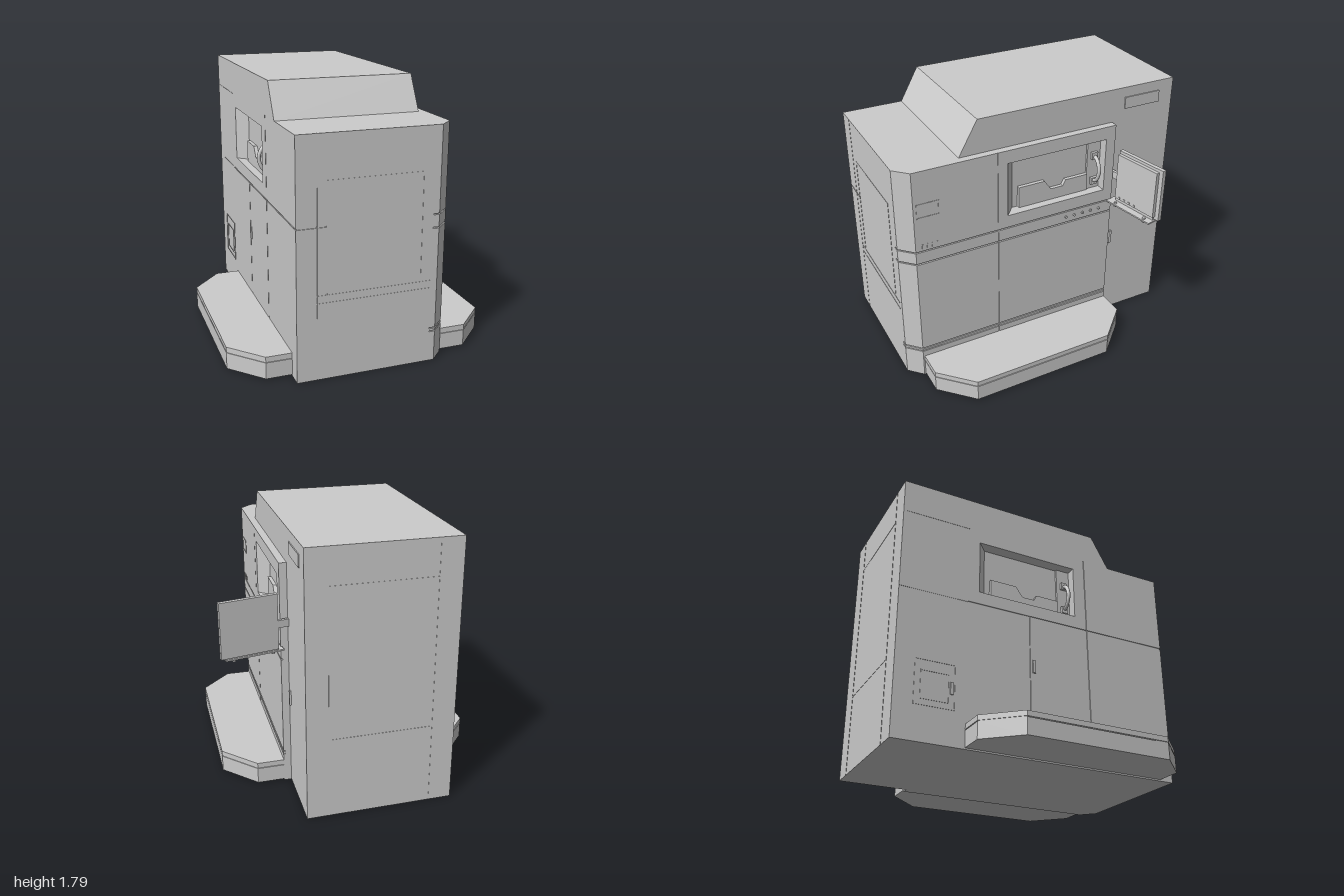
import * as THREE from 'three';

const material = new THREE.MeshStandardMaterial({ color: 0xcccccc, flatShading: true });
const smooth = new THREE.MeshStandardMaterial({ color: 0xcccccc });

function add(parent, name, geometry, mat = material) {
  const mesh = new THREE.Mesh(geometry, mat);
  mesh.name = name;
  parent.add(mesh);
  return mesh;
}

// Box given by its extents on each axis
function box(parent, name, [x0, x1], [y0, y1], [z0, z1]) {
  const g = new THREE.BoxGeometry(x1 - x0, y1 - y0, z1 - z0);
  return add(parent, name, g.translate((x0 + x1) / 2, (y0 + y1) / 2, (z0 + z1) / 2));
}

const toShape = (pts) => new THREE.Shape(pts.map(([a, b]) => new THREE.Vector2(a, b)));

// Floor plan [x, z] raised from y0 to y1
function slab(parent, name, pts, y0, y1) {
  const g = new THREE.ExtrudeGeometry(toShape(pts.map(([x, z]) => [x, -z])), { depth: y1 - y0, bevelEnabled: false });
  return add(parent, name, g.rotateX(-Math.PI / 2).translate(0, y0, 0));
}

// Side profile [z, y] extended from x0 to x1
function profile(parent, name, pts, x0, x1) {
  const g = new THREE.ExtrudeGeometry(toShape(pts), { depth: x1 - x0, bevelEnabled: false });
  return add(parent, name, g.rotateY(-Math.PI / 2).translate(x1, 0, 0));
}

// Rectangular outline standing on a side wall (x) as four thin strips
function sideFrame(parent, name, x, [y0, y1], [z0, z1], w = 0.006, d = 0.003) {
  const xs = [x - d, x + d];
  box(parent, name, xs, [y0, y0 + w], [z0, z1]);
  box(parent, name, xs, [y1 - w, y1], [z0, z1]);
  box(parent, name, xs, [y0, y1], [z0, z0 + w]);
  box(parent, name, xs, [y0, y1], [z1 - w, z1]);
}

// Cabinet floor plan with vertical seams, groove insets and window recesses
function cabinetPlan({ right = 0, left = 0, recess = false, doors = false }) {
  const R = 0.49 - right, L = -0.53 + left, s = 0.006, w = 0.003;
  const seam = (x, z, dir, inward) => [[x, z - dir * w], [x + inward, z - dir * w], [x + inward, z + dir * w], [x, z + dir * w]];
  const pts = [[L, -0.53], [R, -0.53]];
  if (recess) pts.push([R, -0.46], [0.41, -0.46], [0.41, 0.2], [R, 0.27]);
  pts.push(...seam(R, 0.34, 1, -s), [R, 0.91], [0.4, 1 - right]);
  if (right) pts.push([0.36, 1 - right], [0.36, 1]);
  if (left) pts.push([-0.34, 1], [-0.34, 1 - left]);
  const front = 1 - left;
  pts.push([-0.4 + w, front], [-0.4 + w, front - s], [-0.4 - w, front - s], [-0.4 - w, front], [L, front]);
  pts.push(...seam(L, 0.37, -1, s));
  if (recess) pts.push([L, 0.28], [-0.45, 0.28], [-0.45, -0.38], [L, -0.45]);
  if (doors) pts.push(...seam(L, -0.08, -1, s));
  return pts;
}

// Contents of one window recess, laid out for the +x side
function windowUnit() {
  const unit = new THREE.Group();
  unit.name = 'windowUnit';
  profile(unit, 'steppedPlate', [[0.16, 1.09], [0.16, 1.24], [-0.03, 1.24], [-0.08, 1.17], [-0.17, 1.17],
    [-0.19, 1.21], [-0.36, 1.21], [-0.36, 1.09]], 0.405, 0.435);
  box(unit, 'handlePlate', [0.405, 0.425], [1.09, 1.47], [-0.46, -0.36]);
  const curve = new THREE.CatmullRomCurve3([[0.42, 1.15], [0.47, 1.17], [0.5, 1.25], [0.47, 1.32], [0.42, 1.34]]
    .map(([x, y]) => new THREE.Vector3(x, y, -0.41)));
  add(unit, 'windowHandle', new THREE.TubeGeometry(curve, 20, 0.013, 10), smooth);
  for (const y of [1.15, 1.34]) box(unit, 'handleFoot', [0.42, 0.445], [y - 0.025, y + 0.025], [-0.432, -0.388]);
  return unit;
}

// Low platform beside the cabinet, with a shadow gap near its top
function platform(parent, inner, outer, corner) {
  const plan = (d) => {
    const k = Math.sign(outer) * d;
    return [[inner, -0.53 + d], [corner, -0.53 + d], [outer - k, -0.31], [outer - k, 0.69], [corner, 0.9 - d], [inner, 0.9 - d]];
  };
  slab(parent, 'platformBase', plan(0), 0.01, 0.12);
  slab(parent, 'platformGap', plan(0.006), 0.12, 0.126);
  slab(parent, 'platformTop', plan(0), 0.126, 0.16);
}

export function createModel() {
  const model = new THREE.Group();
  model.name = 'industrialMachine';

  // Front cabinet stacked from panels and recessed grooves
  const lower = { doors: true }, groove = { right: 0.012, doors: true };
  const layers = [
    [0, 0.203, lower], [0.203, 0.21, groove], [0.21, 0.224, lower], [0.224, 0.232, groove],
    [0.232, 0.905, lower], [0.905, 0.914, groove], [0.914, 0.994, lower],
    [0.994, 1.002, { right: 0.012, left: 0.006 }], [1.002, 1.09, {}],
    [1.09, 1.47, { recess: true }], [1.47, 1.56, {}],
  ];
  for (const [y0, y1, options] of layers) slab(model, 'cabinetLayer', cabinetPlan(options), y0, y1);

  // Rear housing with the sloped hood over the cabinet
  profile(model, 'rearHousingAndHood', [[-1, 0], [-0.53, 0], [-0.53, 1.56], [0.58, 1.56], [0.45, 1.79], [-1, 1.79]], -0.53, 0.44);

  // Window recesses on both sides, the second turned about
  const rightUnit = windowUnit();
  const leftUnit = windowUnit();
  leftUnit.rotation.y = Math.PI;
  leftUnit.position.set(-0.04, 0, -0.18);
  model.add(rightUnit, leftUnit);

  // Front door frame and trim
  const fz = [0.997, 1.002];
  for (const x of [-0.335, 0.285]) box(model, 'frontFrameSide', [x, x + 0.01], [0.56, 1.28], fz);
  box(model, 'frontFrameTop', [-0.335, 0.295], [1.27, 1.28], fz);
  for (const y of [0.51, 0.56]) box(model, 'frontTrim', [-0.4, 0.36], [y - 0.003, y + 0.003], fz);

  // Right side details
  sideFrame(model, 'accessFlap', 0.49, [1.24, 1.34], [0.74, 0.89]);
  for (let i = 0; i < 5; i++) {
    const button = add(model, 'button', new THREE.CylinderGeometry(0.009, 0.009, 0.012, 12), smooth);
    button.rotation.z = Math.PI / 2;
    button.position.set(0.493, 0.955, -0.17 - i * 0.065);
  }
  for (let i = 0; i < 4; i++) box(model, 'ventSlat', [0.488, 0.494], [1.02, 1.05], [0.76 + i * 0.033, 0.768 + i * 0.033]);
  box(model, 'hoodVent', [0.43, 0.447], [1.64, 1.72], [-0.89, -0.62]);
  box(model, 'rearLatch', [0.43, 0.452], [0.6, 0.7], [-0.585, -0.565]);

  // Left side door handle and service hatch
  sideFrame(model, 'serviceHatch', -0.53, [0.23, 0.53], [-0.87, -0.6]);
  sideFrame(model, 'serviceHatchInner', -0.53, [0.27, 0.46], [-0.83, -0.64]);
  box(model, 'hatchLatch', [-0.538, -0.525], [0.33, 0.41], [-0.635, -0.615]);
  box(model, 'doorHandle', [-0.54, -0.525], [0.59, 0.68], [-0.062, -0.042]);
  box(model, 'rearTrim', [-0.532, -0.525], [1.557, 1.563], [-0.98, -0.53]);
  box(model, 'rearTrim', [-0.532, -0.525], [0.995, 1.001], [-1, -0.53]);

  // Back panel trim
  for (const x of [-0.38, 0.295]) box(model, 'backSeam', [x - 0.003, x + 0.003], [0, 1.79], [-1.002, -0.995]);
  for (const y of [0.55, 1.55]) box(model, 'backTrim', [-0.38, 0.295], [y - 0.003, y + 0.003], [-1.002, -0.995]);

  // Platforms on both sides
  platform(model, 0.48, 0.88, 0.67);
  platform(model, -0.52, -0.9, -0.7);

  // Swivelled monitor with its keyboard shelf
  const station = new THREE.Group();
  station.name = 'operatorStation';
  station.position.set(0.5, 0, -0.54);
  station.rotation.y = 0.2;
  box(station, 'monitorBack', [0.02, 0.4], [1.01, 1.38], [-0.04, -0.012]);
  box(station, 'monitorFront', [0.03, 0.37], [1.03, 1.36], [-0.012, 0.012]);
  box(station, 'shelf', [-0.02, 0.37], [0.99, 1.0], [-0.035, 0.045]);
  box(station, 'shelfBracket', [0.02, 0.36], [1.0, 1.03], [-0.03, -0.005]);
  for (const x of [0.05, 0.31]) for (const z of [-0.015, 0.025]) {
    add(station, 'shelfKnob', new THREE.CylinderGeometry(0.011, 0.011, 0.035, 12), smooth).position.set(x, 0.993, z);
  }
  for (let i = 0; i < 4; i++) box(station, 'monitorKey', [0.06 + i * 0.045, 0.075 + i * 0.045], [1.037, 1.05], [0.01, 0.016]);
  box(station, 'mountArm', [-0.08, 0.04], [1.15, 1.2], [-0.035, -0.015]);
  model.add(station);

  return model;
}
